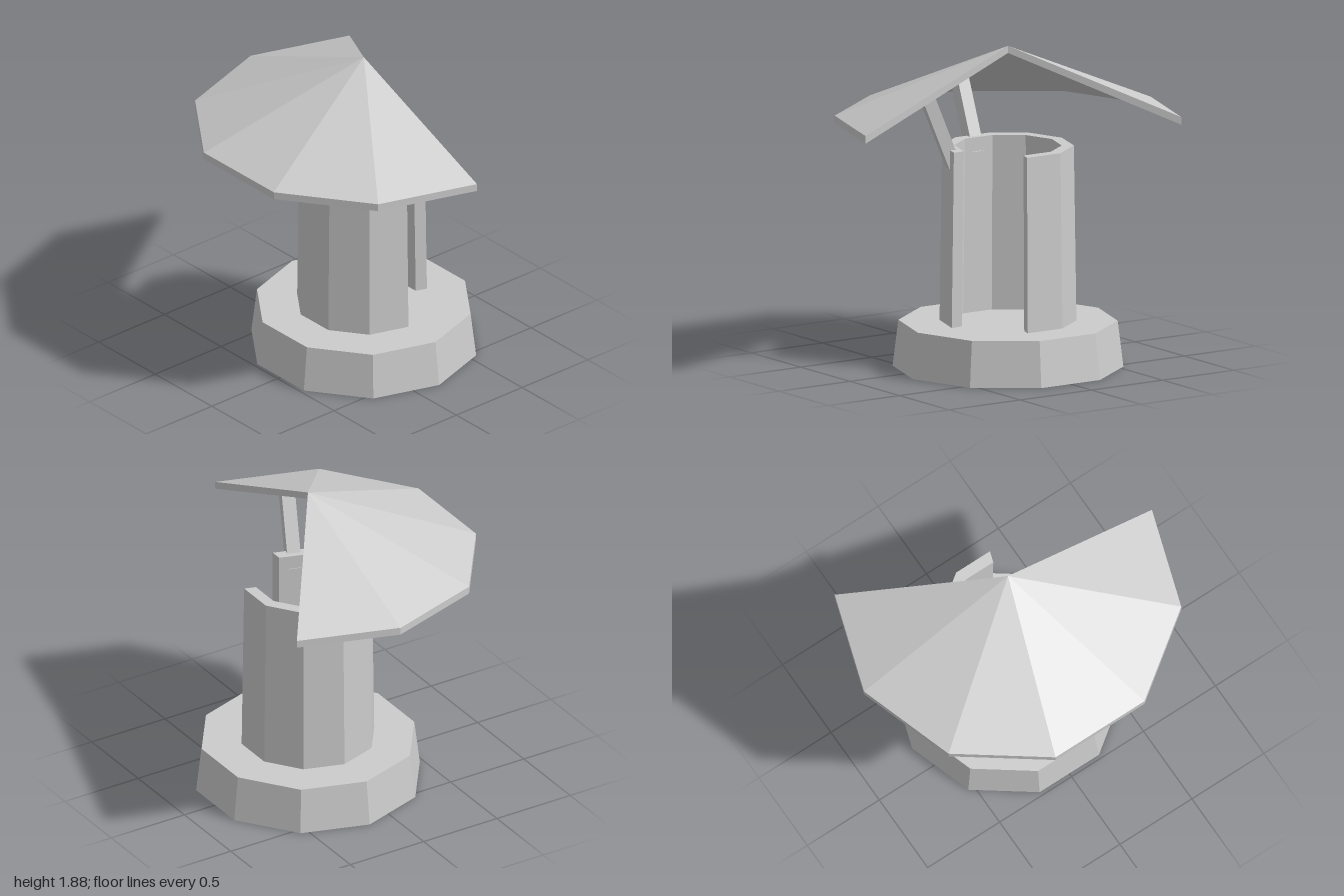
import * as THREE from 'three';

const SIDES = 10;
const STEP = (Math.PI * 2) / SIDES;

// Sweeps a convex four-point profile [radius, y] through whole decagon
// sectors, from corner "first" to corner "last", and closes both cut ends.
function sweepSector(profile, first, last) {
  const positions = [];
  const at = (p, k) =>
    new THREE.Vector3(p[0] * Math.cos(k * STEP), p[1], -p[0] * Math.sin(k * STEP));
  const tri = (a, b, c) => {
    const area = b.clone().sub(a).cross(c.clone().sub(a)).length();
    if (area > 1e-6) for (const v of [a, b, c]) positions.push(v.x, v.y, v.z);
  };
  const quad = (a, b, c, d) => {
    tri(a, b, c);
    tri(a, c, d);
  };
  for (let k = first; k < last; k++) {
    profile.forEach((p, i) => {
      const q = profile[(i + 1) % profile.length];
      quad(at(p, k), at(p, k + 1), at(q, k + 1), at(q, k));
    });
  }
  quad(...profile.map((p) => at(p, first)));
  quad(...profile.map((p) => at(p, last)).reverse());
  const geometry = new THREE.BufferGeometry();
  geometry.setAttribute('position', new THREE.Float32BufferAttribute(positions, 3));
  geometry.computeVertexNormals();
  return geometry;
}

export function createModel() {
  const model = new THREE.Group();
  model.name = 'roofedTower';
  const stone = new THREE.MeshStandardMaterial({ color: 0xcccccc, flatShading: true });
  stone.name = 'pale grey';

  const add = (name, geometry, parent = model) => {
    const mesh = new THREE.Mesh(geometry, stone);
    mesh.name = name;
    parent.add(mesh);
    return mesh;
  };

  // Solid tapered plinth with corners on the x axis
  const base = new THREE.CylinderGeometry(0.633, 0.666, 0.27, SIDES);
  base.rotateY(Math.PI / 2).translate(0, 0.135, 0);
  add('base', base);

  // Hollow tower, open over two sectors at the back
  add('towerWall', sweepSector(
    [[0.395, 0.26], [0.38, 1.3], [0.31, 1.3], [0.325, 0.26]], 2, SIDES));

  // Conical roof shell with four sectors missing at the back
  add('roof', sweepSector(
    [[1, 1.425], [1, 1.47], [0, 1.885], [0, 1.843]], 4, SIDES));

  // Sloping struts from the wall to the underside of the roof
  for (const corner of [7.5, 9.5]) {
    const arm = new THREE.Group();
    arm.name = 'strutArm';
    arm.rotation.y = corner * STEP;
    const strut = new THREE.BoxGeometry(0.075, 0.47, 0.08);
    strut.translate(-0.0375, 0.235, 0);
    const mesh = add('strut', strut, arm);
    mesh.rotation.z = -0.37;
    mesh.position.set(0.365, 1.188, 0);
    model.add(arm);
  }

  // Centre the whole footprint
  model.children.forEach((part) => { part.position.z = -0.157; });
  return model;
}
